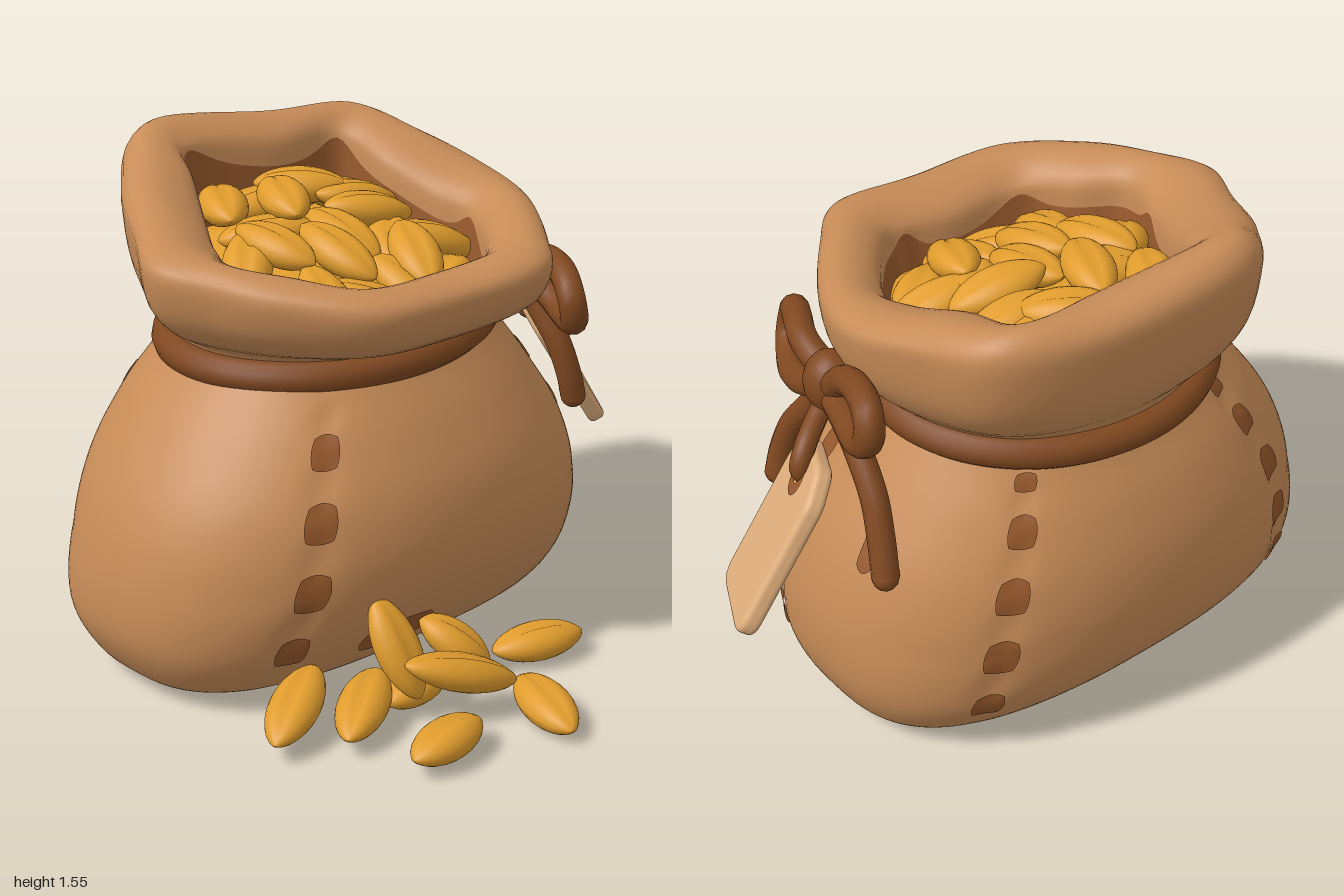
import * as THREE from 'three';

const mat = (name, color, side = THREE.FrontSide) => {
  const m = new THREE.MeshStandardMaterial({ color, side });
  m.name = name;
  return m;
};
const V = (x, y, z) => new THREE.Vector3(x, y, z);

// Surface through closed rings of points
function loft(rows) {
  const n = rows[0].length, pos = [], idx = [];
  rows.forEach(r => r.forEach(p => pos.push(p.x, p.y, p.z)));
  for (let i = 0; i < rows.length - 1; i++)
    for (let j = 0; j < n; j++) {
      const a = i * n + j, b = i * n + (j + 1) % n, c = a + n, d = b + n;
      idx.push(a, c, b, b, c, d);
    }
  const g = new THREE.BufferGeometry();
  g.setAttribute('position', new THREE.Float32BufferAttribute(pos, 3));
  g.setIndex(idx);
  g.computeVertexNormals();
  return g;
}

// Body levels: y, xMin, xMax, zMin, zMax
const LEVELS = [
  [.035, -.87, .59, -.63, .09], [.08, -.935, .66, -.715, .19], [.22, -1, .715, -.82, .3],
  [.42, -.985, .71, -.872, .378], [.62, -.91, .64, -.86, .36], [.8, -.785, .53, -.8, .28],
  [.93, -.67, .44, -.73, .2], [1, -.615, .39, -.7, .16],
];
const spline = (pts, closed = false) => new THREE.CatmullRomCurve3(pts, closed, 'catmullrom');
const xCurve = spline(LEVELS.map(l => V(l[0], l[1], l[2])));
const zCurve = spline(LEVELS.map(l => V(l[3], l[4], 0)));
const SEAMS = [126, 23, -51, -126].map(THREE.MathUtils.degToRad);

// Point on the sack body: u is the level number, a the angle; the base is squarer
function bodyPoint(u, a, out = 0) {
  const p = xCurve.getPoint(u / 7), q = zCurve.getPoint(u / 7);
  const power = 2.2 + .8 * Math.max(0, 1 - u / 3);
  const e = v => Math.sign(v) * Math.abs(v) ** (2 / power);
  let k = 1;
  for (const s of SEAMS) {
    const d = Math.atan2(Math.sin(a - s), Math.cos(a - s));
    k -= .022 * Math.exp(-((d / .06) ** 2)) * (.6 - .4 * Math.cos(u * 2 * Math.PI)) * (u > 1.3 ? 1 : 0.3);
  }
  const rx = (p.z - p.y) / 2 * k + out, rz = (q.y - q.x) / 2 * k + out;
  return V((p.y + p.z) / 2 + rx * e(Math.cos(a)), p.x, (q.x + q.y) / 2 + rz * e(Math.sin(a)));
}

// Mouth: outer x, z, crest height, inner x, z
const MOUTH = [
  [.53, -.2, 1.36, .28, -.22], [.47, .02, 1.33, .3, -.07], [.28, .28, 1.31, .14, .15],
  [.13, .41, 1.3, .03, .2], [-.15, .4, 1.28, -.13, .17], [-.46, .36, 1.29, -.38, .16],
  [-.665, .155, 1.32, -.5, .02], [-.76, -.04, 1.34, -.59, -.09], [-.82, -.22, 1.36, -.55, -.24],
  [-.72, -.42, 1.4, -.46, -.4], [-.58, -.66, 1.48, -.38, -.55], [-.37, -.83, 1.55, -.33, -.65],
  [.1, -.79, 1.5, -.02, -.6], [.39, -.68, 1.49, .22, -.59], [.485, -.44, 1.43, .24, -.4],
];
const CORNERS = [1, 3, 5, 8, 11, 13];
const outerCurve = spline(MOUTH.map(m => V(m[0], m[2], m[1])), true);
const innerCurve = spline(MOUTH.map(m => V(m[3], m[2], m[4])), true);
const NECK = { x: -.112, z: -.27, rx: .502, rz: .43 };

// One strip of the mouth from neck over the rolled rim to the inside
function mouthStrip(t) {
  const o = outerCurve.getPoint(t), i = innerCurve.getPoint(t), top = o.y;
  const a = Math.atan2((o.z - NECK.z) / NECK.rz, (o.x - NECK.x) / NECK.rx);
  const n = V(NECK.x + NECK.rx * Math.cos(a), 0, NECK.z + NECK.rz * Math.sin(a));
  const flare = [[0, -.05], [.1, .1], [.53, .25], [.87, .46], [1, .73], [.96, .91]].map(([f, g]) =>
    V(n.x + (o.x - n.x) * f, 1 + g * (top - 1), n.z + (o.z - n.z) * f));
  // the dark lining climbs higher in the corners
  const end = CORNERS.reduce((d, k) => d - .055 * Math.exp(-(((t * 15 - k) / .35) ** 2)), .135);
  const roll = [[.32, 0], [.65, .012], [.93, .055], [1, end]].map(([f, d]) =>
    V(o.x + (i.x - o.x) * f, top - d, o.z + (i.z - o.z) * f));
  return spline([...flare, ...roll]).getPoints(27);
}

// Seed: pointed ellipsoid with a lengthwise groove
function seedGeometry() {
  const g = new THREE.SphereGeometry(1, 24, 14), p = g.attributes.position;
  for (let i = 0; i < p.count; i++) {
    const x = p.getX(i), y = p.getY(i), z = p.getZ(i), r = Math.hypot(x, z);
    const k = r ** .3 * (1 - .25 * Math.exp(-((x / .2) ** 2)) * r);
    p.setXYZ(i, x * k * .077, y * .16, z * k * .056);
  }
  g.computeVertexNormals();
  return g;
}

// Thin patch lying on the sack body
function patchGeometry(u, a, halfU, halfA) {
  const g = new THREE.PlaneGeometry(2, 2, 8, 8), p = g.attributes.position;
  for (let i = 0; i < p.count; i++) {
    const x = p.getX(i), y = p.getY(i);
    const q = bodyPoint(u + y * halfU * (1 - .18 * x * x), a - x * halfA * (1 - .18 * y * y), .006);
    p.setXYZ(i, q.x, q.y, q.z);
  }
  g.computeVertexNormals();
  return g;
}

export function createModel() {
  const sackMat = mat('sack cloth', 0xc68b57), ropeMat = mat('rope brown', 0x804820);
  const stitchMat = mat('stitch brown', 0x94572b, THREE.DoubleSide);
  const seedMat = mat('golden seed', 0xe09c2d), tagMat = mat('tag tan', 0xdfae7c);
  const model = new THREE.Group();
  const add = (name, geo, m, parent = model) => {
    const mesh = new THREE.Mesh(geo, m);
    mesh.name = name;
    parent.add(mesh);
    return mesh;
  };
  const group = name => {
    const g = new THREE.Group();
    g.name = name;
    model.add(g);
    return g;
  };

  // Sack body with a flat base
  const ring = f => Array.from({ length: 120 }, (_, j) => f(j / 120 * Math.PI * 2));
  const rows = [ring(() => V(-.14, .035, -.27))];
  for (let i = 0; i <= 42; i++) rows.push(ring(a => bodyPoint(i / 6, a)));
  add('sackBody', loft(rows), sackMat);

  // Rolled mouth, dark lining and the bed of seeds
  const strips = Array.from({ length: 120 }, (_, j) => mouthStrip(j / 120));
  add('sackMouth', loft(strips[0].map((_, i) => strips.map(s => s[i]))), sackMat);
  const edge = strips.map(s => s[s.length - 1]);
  const inset = (f, height) => edge.map(p => {
    const x = -.13 + (p.x + .13) * f, z = -.22 + (p.z + .22) * f;
    return V(x, height(z), z);
  });
  add('lining', loft([edge, inset(.88, () => 1)]), stitchMat);
  add('seedBed', loft([.97, .8, .6, .4, .2, 0].map(f =>
    inset(f, z => 1.26 - .08 * f * f - .15 * (z + .4)))), seedMat);

  // Stitches along the four seams, with a short one under the rope at the back
  const stitches = group('stitches');
  for (const s of SEAMS) {
    for (const u of [2, 3, 4, 5])
      add('stitch', patchGeometry(u, s, .29, .072), stitchMat, stitches);
    if (s < 0) add('stitch', patchGeometry(5.95, s, .25, .065), stitchMat, stitches);
  }
  // Worn patches beside the bow tail and behind the spilled seeds
  const worn = group('wornPatches');
  add('wornPatch', patchGeometry(4.4, -.17, .45, .045), stitchMat, worn);
  add('wornPatch', patchGeometry(1.85, 1.75, .3, .14), stitchMat, worn);

  // Rope round the neck and bow on the side
  const rope = group('rope');
  const tube = (name, pts, r, closed = false) => {
    const c = spline(pts.map(p => V(...p)), closed);
    add(name, new THREE.TubeGeometry(c, closed ? 96 : 40, r, 12, closed), ropeMat, rope);
    if (!closed) for (const p of [pts[0], pts[pts.length - 1]])
      add(name + 'End', new THREE.SphereGeometry(r, 12, 8), ropeMat, rope).position.set(...p);
  };
  tube('neckRope', Array.from({ length: 24 }, (_, i) => {
    const a = i / 24 * Math.PI * 2;
    return [NECK.x + .512 * Math.cos(a), .985 + .018 * Math.cos(a), NECK.z + .44 * Math.sin(a)];
  }), .052, true);
  tube('frontLoop', [[.5, 1.08, -.04], [.49, 1.11, .08], [.43, 1.11, .2], [.39, 1.06, .275],
    [.41, .98, .27], [.47, .955, .18], [.51, .98, .08], [.52, 1.03, -.03]], .044);
  tube('backLoop', [[.54, 1.1, -.13], [.56, 1.18, -.22], [.6, 1.23, -.34], [.64, 1.22, -.43],
    [.65, 1.15, -.44], [.63, 1.09, -.36], [.58, 1.07, -.24], [.54, 1.06, -.13]], .044);
  tube('frontTail', [[.51, 1.04, -.05], [.52, .95, 0], [.54, .83, .08], [.56, .72, .115], [.578, .64, .12]], .041);
  tube('backTail', [[.54, 1.04, -.14], [.56, .98, -.25], [.58, .87, -.36], [.6, .76, -.42], [.62, .65, -.465]], .041);
  tube('tagString', [[.53, 1.02, -.08], [.59, .99, -.11], [.66, .95, -.15], [.69, .89, -.165], [.65, .84, -.155]], .032);
  const knot = add('knot', new THREE.SphereGeometry(1, 20, 14), ropeMat, rope);
  knot.scale.set(.08, .1, .085);
  knot.position.set(.52, 1.08, -.09);

  // Hanging tag with clipped top corners and a ringed hole
  const tag = group('tag');
  const s = new THREE.Shape();
  s.moveTo(-.12, -.255).lineTo(.12, -.255).quadraticCurveTo(.17, -.255, .17, -.205)
    .lineTo(.17, .15).quadraticCurveTo(.17, .18, .15, .2).lineTo(.115, .24)
    .quadraticCurveTo(.1, .255, .07, .255).lineTo(-.07, .255).quadraticCurveTo(-.1, .255, -.115, .24)
    .lineTo(-.15, .2).quadraticCurveTo(-.17, .18, -.17, .15)
    .lineTo(-.17, -.205).quadraticCurveTo(-.17, -.255, -.12, -.255);
  s.holes.push(new THREE.Path().absarc(0, .18, .04, 0, Math.PI * 2, true));
  const plate = new THREE.ExtrudeGeometry(s, { depth: .02, bevelSize: .018, bevelThickness: .018, bevelSegments: 4, curveSegments: 10 });
  plate.translate(0, 0, -.01);
  add('tagPlate', plate, tagMat, tag);
  for (const z of [-.03, .03])
    add('tagHoleRing', new THREE.RingGeometry(.02, .058, 24), stitchMat, tag).position.set(0, .18, z);
  const X = V(.17, .085, -.32).normalize(), Y = V(-.31, .44, 0);
  Y.addScaledVector(X, -Y.dot(X)).normalize();
  tag.quaternion.setFromRotationMatrix(new THREE.Matrix4().makeBasis(X, Y, X.clone().cross(Y)));
  tag.position.set(.773, .695, -.16);

  // Seeds laid from point to point, flat side up
  const seedGeo = seedGeometry();
  const seed = (name, parent, a, b) => {
    const d = b.clone().sub(a), up = V(0, 1, 0);
    const y = d.clone().normalize(), x = y.clone().cross(up).normalize();
    const m = add(name, seedGeo, seedMat, parent);
    m.quaternion.setFromRotationMatrix(new THREE.Matrix4().makeBasis(x, y, x.clone().cross(y)));
    m.position.copy(a).add(b).multiplyScalar(.5);
    m.scale.y = d.length() / .32;
  };

  // Spilled seeds
  const spilled = group('spilledSeeds');
  [[-.91, .07, .38, -.6, .14, .2], [-.74, .07, .5, -.43, .1, .29], [-.51, .22, .49, -.16, .09, .6],
    [-.68, .07, .71, -.38, .07, .66], [-.22, .05, .88, -.1, .06, .56], [-.07, .07, .41, .23, .07, .5],
    [-.46, .36, .31, -.44, .08, .48], [-.26, .21, .29, -.13, .07, .46], [-.52, .07, .42, -.23, .07, .36],
  ].forEach(p => seed('spilledSeed', spilled, V(p[0], p[1], p[2]), V(p[3], p[4], p[5])));

  // Heaped seeds: centre x, z, direction in degrees, lift
  const heap = group('heapedSeeds');
  [[-.17, -.4, -65, .08], [-.35, -.23, 82, .06], [-.3, -.53, -60, .07], [-.21, -.11, 86, .05],
    [-.11, -.2, 88, .03], [.05, -.26, 15, .06], [0, 0, -65, .07], [.18, -.11, 15, .04],
    [.12, -.39, 8, .05], [-.01, -.5, 40, .07], [.14, -.5, -20, .04], [-.44, -.25, -45, .04],
    [-.37, .03, -75, .04], [-.22, .06, 50, .01], [.1, .03, -30, .01], [-.44, -.09, 60, .01],
    [-.08, .07, 80, .02], [-.14, -.55, 10, .02], [.03, -.14, -50, .02], [-.28, -.35, 30, .02],
  ].forEach(([x, z, deg, lift]) => {
    const a = deg * Math.PI / 180;
    const at = k => {
      const px = x + k * Math.cos(a), pz = z + k * Math.sin(a);
      return V(px, 1.28 + lift - .5 * ((px + .13) ** 2 + (pz + .3) ** 2) - .15 * (pz + .4), pz);
    };
    seed('heapedSeed', heap, at(-.15), at(.15));
  });
  return model;
}
